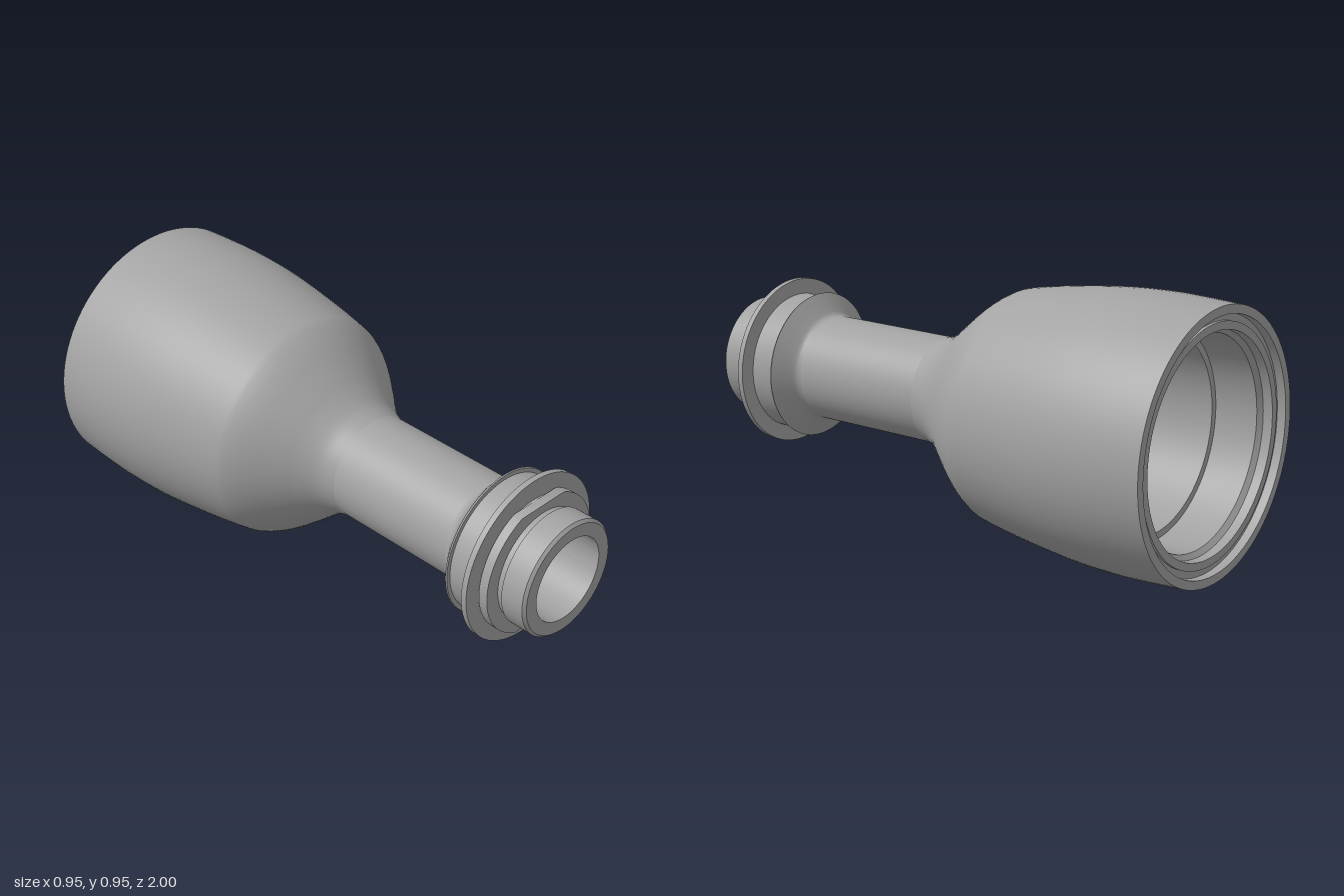
import * as THREE from 'three';
import { toCreasedNormals } from 'three/addons/utils/BufferGeometryUtils.js';

const SEG = 96;
const AXIS_Y = 0.478;

export function createModel() {
  const model = new THREE.Group();
  const grey = new THREE.MeshStandardMaterial({ color: 0xa3a3a3 });

  const add = (name, geometry) => {
    const mesh = new THREE.Mesh(toCreasedNormals(geometry, 0.45), grey);
    mesh.name = name;
    mesh.position.y = AXIS_Y;
    model.add(mesh);
  };
  // Turns a profile of [z, radius] pairs about the z axis; z rising faces outward
  const turn = (name, profile) => {
    const pts = profile.map(([z, r]) => new THREE.Vector2(r, z));
    add(name, new THREE.LatheGeometry(pts, SEG).rotateX(Math.PI / 2));
  };
  // Smooth curve through [z, radius] pairs
  const smooth = (pairs, n) =>
    new THREE.SplineCurve(pairs.map(([z, r]) => new THREE.Vector2(z, r)))
      .getPoints(n).map((p) => [p.x, p.y]);

  // Bell-shaped body flowing into the neck
  turn('body', smooth([
    [-1, 0.467], [-0.88, 0.473], [-0.76, 0.475], [-0.6, 0.468], [-0.4, 0.444],
    [-0.25, 0.419], [-0.2, 0.403], [-0.14, 0.365], [-0.06, 0.3], [0, 0.25],
    [0.06, 0.21], [0.12, 0.19],
  ], 60));

  // Straight neck and flared collar
  turn('neck', [[0.12, 0.19], [0.635, 0.19]]);
  turn('collar', [
    ...smooth([[0.635, 0.19], [0.65, 0.194], [0.665, 0.208], [0.71, 0.267]], 10),
    [0.715, 0.265], [0.715, 0.25], [0.815, 0.25],
  ]);

  // Thin flange with a shallow relief in front of it
  turn('flange', [
    [0.815, 0.25], [0.815, 0.306], [0.836, 0.306], [0.836, 0.232], [0.846, 0.232],
  ]);

  // Key plate: a disc with flats at top and bottom
  const R = 0.255, FLAT = 0.234;
  const a = Math.asin(FLAT / R);
  const plate = new THREE.Shape();
  plate.absarc(0, 0, R, -a, a, false);
  plate.absarc(0, 0, R, Math.PI - a, Math.PI + a, false);
  plate.closePath();
  const hole = new THREE.Path();
  hole.absarc(0, 0, 0.19, 0, Math.PI * 2, true);
  plate.holes.push(hole);
  add('keyPlate', new THREE.ExtrudeGeometry(plate, {
    depth: 0.034, bevelEnabled: false, curveSegments: 48,
  }).translate(0, 0, 0.845));

  // Spigot with an undercut, chamfered tip and end face
  turn('spigot', [
    [0.879, 0.203], [0.903, 0.203], [0.903, 0.213], [0.99, 0.213], [1, 0.203], [1, 0.155],
  ]);

  // Bore through the neck, opening into the hollow body
  turn('bore', [
    [1, 0.155], [0.1, 0.155],
    ...smooth([[0.1, 0.155], [0.04, 0.175], [-0.06, 0.25], [-0.16, 0.32], [-0.2, 0.34]], 16).slice(1),
    [-0.77, 0.34],
  ]);

  // Inner ledge and stepped mouth rim
  turn('mouth', [
    [-0.77, 0.34], [-0.77, 0.365], [-0.93, 0.365], [-0.945, 0.382],
    [-0.98, 0.382], [-0.98, 0.41], [-0.968, 0.41], [-0.968, 0.436],
    [-1, 0.436], [-1, 0.467],
  ]);

  return model;
}
